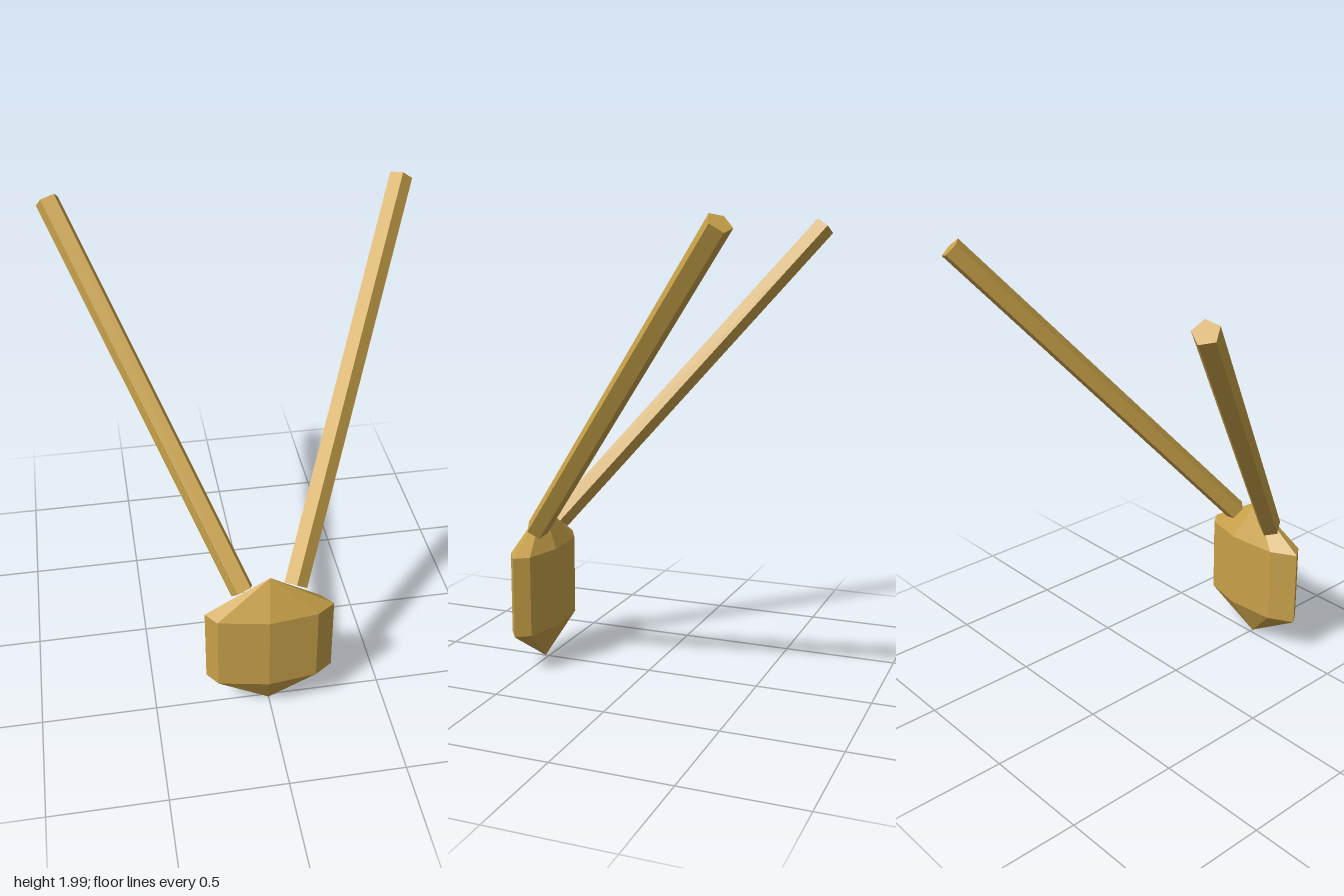
import * as THREE from 'three';

const gold = new THREE.MeshStandardMaterial({ color: 0xc9a24a, flatShading: true });
gold.name = 'gold';

// Faceted flat gem: two equal rings closed by a point above and below
function pendantGeometry() {
  const ring = [ // x, z outline, running from +x towards +z
    [0.275, 0.527], [0.197, 0.58], [-0.015, 0.606], [-0.23, 0.565],
    [-0.275, 0.504], [-0.165, 0.442], [0.06, 0.426], [0.23, 0.468],
  ];
  const top = [0, 0.713, 0.517], bottom = [0, 0.005, 0.517];
  const at = (i, y) => { const [x, z] = ring[i % ring.length]; return [x, y, z]; };
  const p = [];
  for (let i = 0; i < ring.length; i++) {
    const a = at(i, 0.18), b = at(i + 1, 0.18), c = at(i + 1, 0.538), d = at(i, 0.538);
    p.push(...a, ...c, ...b, ...a, ...d, ...c); // side
    p.push(...d, ...top, ...c);                 // upper facet
    p.push(...a, ...b, ...bottom);              // lower facet
  }
  const g = new THREE.BufferGeometry();
  g.setAttribute('position', new THREE.Float32BufferAttribute(p, 3));
  g.computeVertexNormals();
  return g;
}

// Five-sided cord running up and back from the pendant
function cord(name, side, twist) {
  const from = new THREE.Vector3(side * 0.112, 0.635, 0.492);
  const to = new THREE.Vector3(side * 0.757, 1.965, -0.564);
  const dir = to.clone().sub(from);
  const g = new THREE.CylinderGeometry(0.052, 0.052, dir.length(), 5, 1, false, THREE.MathUtils.degToRad(twist));
  const mesh = new THREE.Mesh(g, gold);
  mesh.name = name;
  mesh.position.copy(from).lerp(to, 0.5);
  mesh.quaternion.setFromUnitVectors(new THREE.Vector3(0, 1, 0), dir.normalize());
  return mesh;
}

export function createModel() {
  const group = new THREE.Group();
  group.name = 'necklace';
  const pendant = new THREE.Mesh(pendantGeometry(), gold);
  pendant.name = 'pendant';
  group.add(pendant, cord('leftCord', 1, -9), cord('rightCord', -1, -25));
  return group;
}
